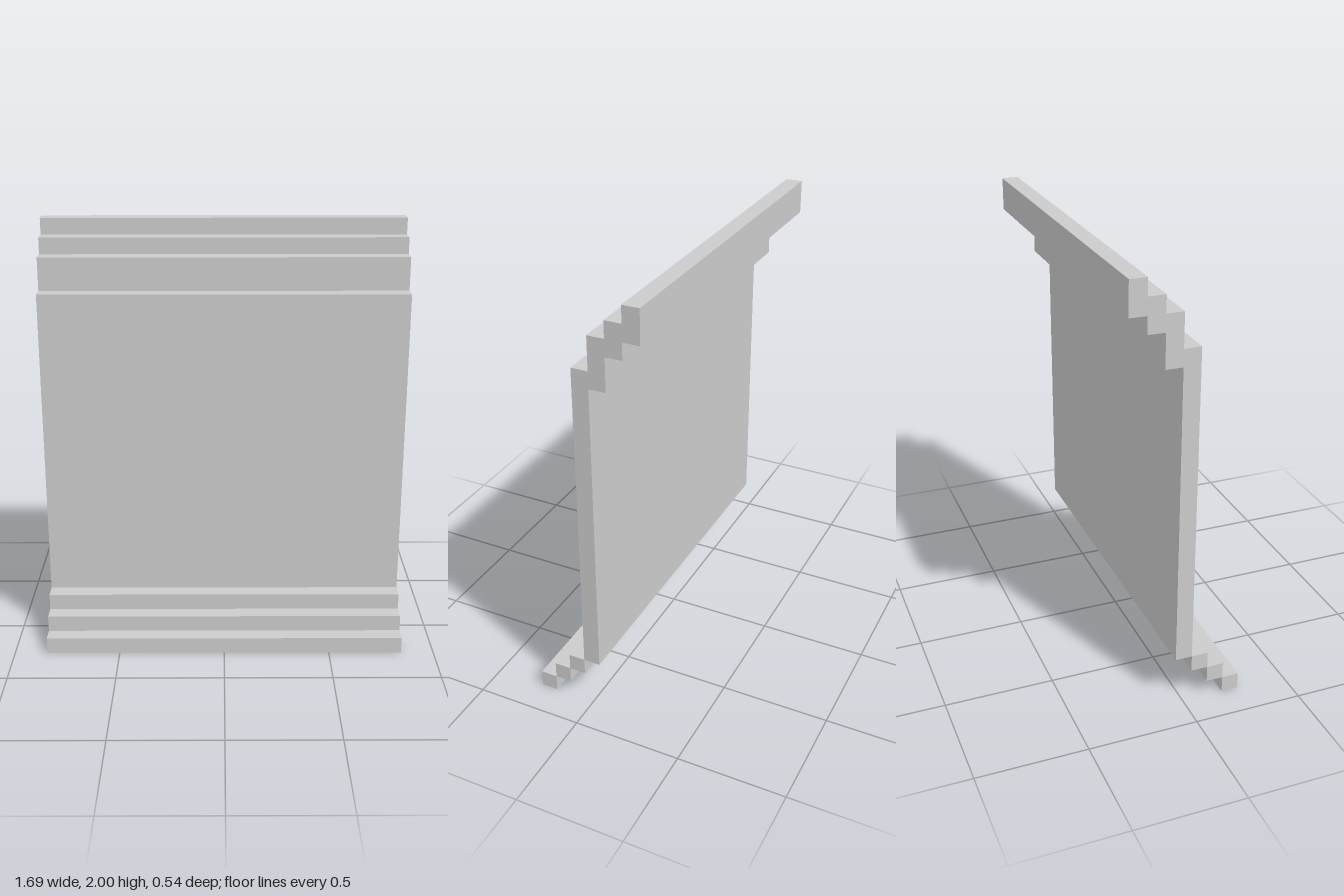
import * as THREE from 'three';

// One step of the profile; the whole model is 26 steps tall and 22 wide
const U = 2 / 26;
const WIDTH = 22 * U;

// Each course is one step deep: [name, bottom, top, z centre], in steps, front to back
const COURSES = [
  ['bottomStepFront', 0, 1, 3],
  ['bottomStepMiddle', 1, 2, 2],
  ['bottomStepBack', 2, 3, 1],
  ['mainPanel', 3, 22, 0],
  ['topStepFront', 21, 24, -1],
  ['topStepMiddle', 23, 25, -2],
  ['topStepBack', 24, 26, -3],
];

export function createModel() {
  const group = new THREE.Group();
  group.name = 'steppedWallPanel';
  const material = new THREE.MeshStandardMaterial({ color: 0xcccccc });

  // Full-width slabs stacked along the stepped profile
  for (const [name, bottom, top, z] of COURSES) {
    const slab = new THREE.Mesh(new THREE.BoxGeometry(WIDTH, (top - bottom) * U, U), material);
    slab.name = name;
    slab.position.set(0, ((bottom + top) / 2) * U, z * U);
    group.add(slab);
  }
  return group;
}
